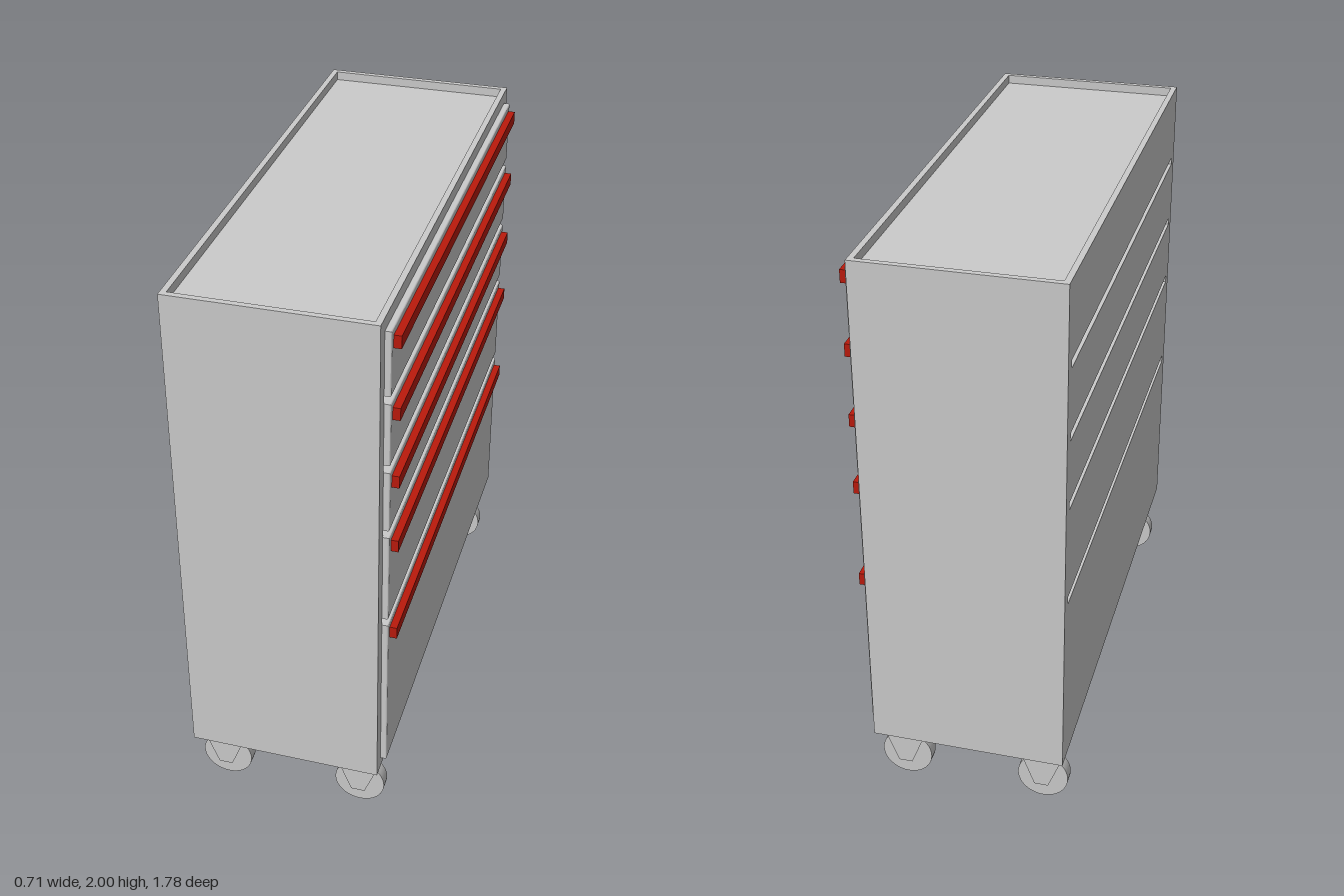
import * as THREE from 'three';

const grey = new THREE.MeshStandardMaterial({ color: 0xcccccc, side: THREE.DoubleSide });
const red = new THREE.MeshStandardMaterial({ color: 0xbb1a0c });

const BACK = -0.355, FACE = 0.307, FRONT = 0.328; // x of cabinet back, cabinet face, drawer face
const HALF_Z = 0.89, DRAWER_Z = 0.845;
const BASE = 0.23, TRAY = 1.97, TOP = 2;

// bottom and top height of each drawer, lowest first
const drawers = [[0.27, 0.868], [0.895, 1.223], [1.25, 1.468], [1.495, 1.713], [1.74, 1.958]];

function add(parent, name, geometry, material = grey) {
  const mesh = new THREE.Mesh(geometry, material);
  mesh.name = name;
  parent.add(mesh);
  return mesh;
}

// rectangle as a closed loop of points
const rect = (x0, y0, x1, y1) => [[x0, y0], [x1, y0], [x1, y1], [x0, y1]].map(p => new THREE.Vector2(...p));

function extrude(shape, depth) {
  return new THREE.ExtrudeGeometry(shape, { depth, bevelEnabled: false });
}

function makeCaster(x, z) {
  const caster = new THREE.Group();
  caster.name = 'caster';
  const wheel = add(caster, 'wheel', new THREE.CylinderGeometry(0.088, 0.088, 0.046, 40));
  wheel.rotation.x = Math.PI / 2;
  wheel.position.y = 0.09;
  // two tapered fork plates
  const plate = new THREE.Shape([[-0.086, BASE], [-0.024, 0.07], [0.024, 0.07], [0.086, BASE]].map(p => new THREE.Vector2(...p)));
  for (const side of [-1, 1]) {
    const fork = add(caster, 'forkPlate', extrude(plate, 0.023));
    fork.position.z = side * 0.036 - 0.0115;
  }
  caster.position.set(x, 0, z);
  return caster;
}

export function createModel() {
  const model = new THREE.Group();
  model.name = 'toolCabinet';

  // cabinet body with slots running right through between the drawers
  const body = new THREE.Shape(rect(-HALF_Z, BASE, HALF_Z, TRAY));
  for (let i = 0; i < drawers.length - 1; i++) {
    body.holes.push(new THREE.Path(rect(-DRAWER_Z, drawers[i][1], DRAWER_Z, drawers[i + 1][0]).reverse()));
  }
  const bodyGeometry = extrude(body, FACE - BACK);
  bodyGeometry.rotateY(Math.PI / 2).translate(BACK, 0, 0);
  add(model, 'cabinetBody', bodyGeometry);

  // raised rim around the top tray
  const t = 0.02;
  const rim = new THREE.Shape(rect(BACK, -HALF_Z, FACE, HALF_Z));
  rim.holes.push(new THREE.Path(rect(BACK + t, -HALF_Z + t, FACE - t, HALF_Z - t).reverse()));
  const rimGeometry = extrude(rim, TOP - TRAY);
  rimGeometry.rotateX(-Math.PI / 2).translate(0, TRAY, 0);
  add(model, 'trayRim', rimGeometry);

  // drawer fronts with softened edges, each with a full-width handle
  const b = 0.005;
  for (const [y0, y1] of drawers) {
    const panel = new THREE.ExtrudeGeometry(new THREE.Shape(rect(-DRAWER_Z + b, y0 + b, DRAWER_Z - b, y1 - b)), {
      depth: FRONT - FACE - b, bevelThickness: b, bevelSize: b, bevelSegments: 3,
    });
    panel.rotateY(Math.PI / 2).translate(FACE, 0, 0);
    add(model, 'drawerFront', panel);
    const handle = add(model, 'drawerHandle', new THREE.BoxGeometry(0.024, 0.043, 1.65), red);
    handle.position.set(FRONT + 0.012, y1 - 0.0425, 0);
  }

  // four casters
  for (const x of [-0.267, 0.221]) {
    for (const z of [-0.779, 0.779]) model.add(makeCaster(x, z));
  }
  return model;
}
